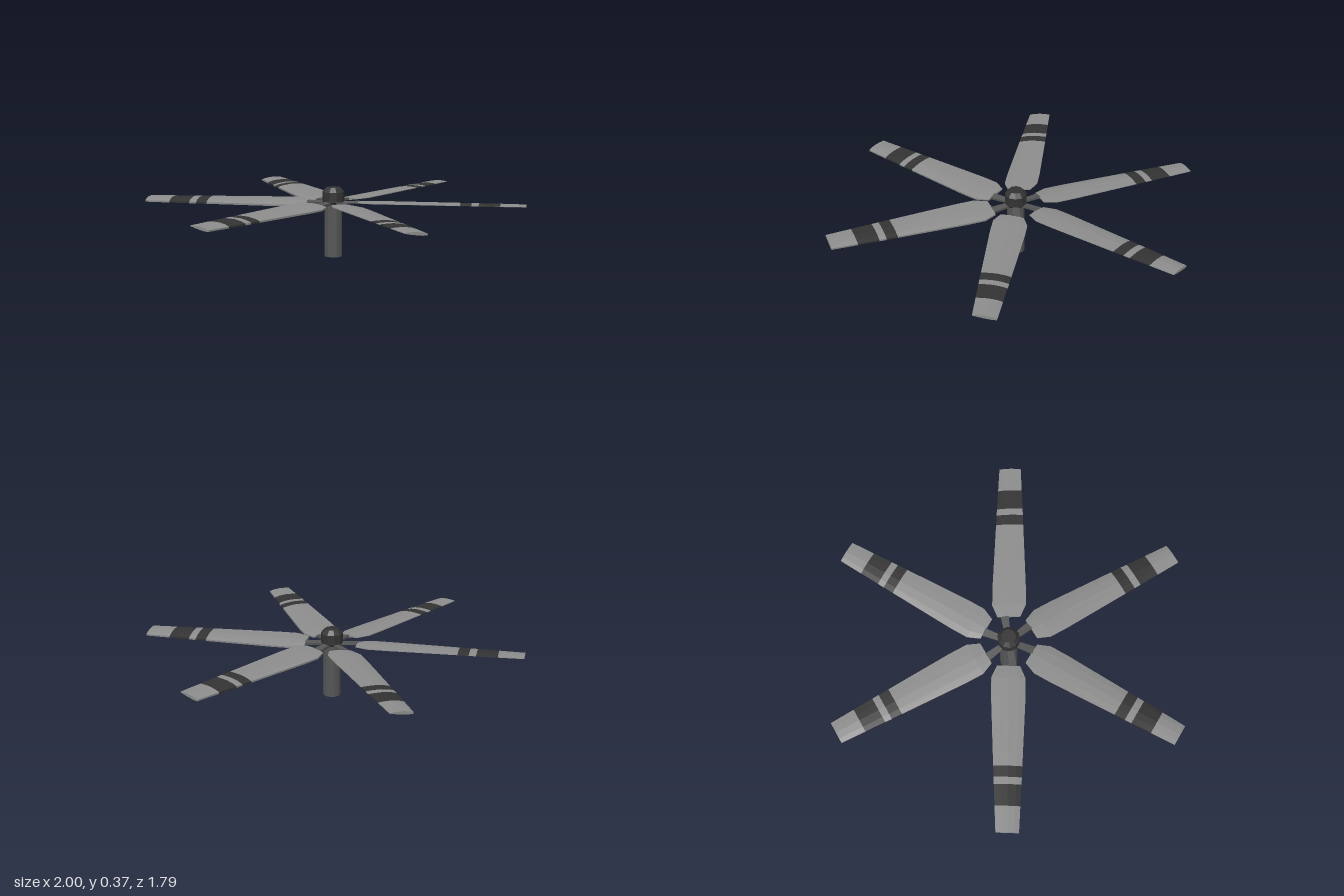
import * as THREE from 'three';

const material = (name, color) => {
  const m = new THREE.MeshStandardMaterial({ color, flatShading: true });
  m.name = name;
  return m;
};

// Blade section: [chord position -1..1, height], over the top then back underneath
const SECTION = [
  [-1, 0.004], [-0.6, 0.009], [0, 0.0105], [0.5, 0.007], [1, 0.002],
  [1, -0.002], [0.5, -0.005], [0, -0.007], [-0.6, -0.008], [-1, -0.005],
];
// Blade stations: [radius, half chord, thickness, colour of the span that follows]
const STATIONS = [
  [0.135, 0.06, 0.7, 0], [0.2, 0.088, 1, 0], [0.3, 0.088, 1, 0], [0.663, 0.073, 1, 1],
  [0.72, 0.071, 1, 0], [0.757, 0.069, 1, 1], [0.866, 0.064, 1, 0], [0.998, 0.058, 0.9, 0],
];
const PITCH = THREE.MathUtils.degToRad(6);

// Loft the section along +x, with one geometry group for each span
function bladeGeometry() {
  const rings = STATIONS.map(([r, half, thick]) => SECTION.map(([c, h]) => {
    const z = c * half, y = h * thick;
    return [r, y * Math.cos(PITCH) + z * Math.sin(PITCH), z * Math.cos(PITCH) - y * Math.sin(PITCH)];
  }));
  const positions = [];
  const geometry = new THREE.BufferGeometry();
  const n = SECTION.length;
  const tri = (a, b, c) => positions.push(...a, ...b, ...c);
  const addGroup = (start, index) => geometry.addGroup(start, positions.length / 3 - start, index);

  for (let i = 0; i < rings.length - 1; i++) {
    const start = positions.length / 3;
    const p = rings[i], q = rings[i + 1];
    for (let j = 0; j < n; j++) {
      const k = (j + 1) % n;
      tri(p[j], p[k], q[k]);
      tri(p[j], q[k], q[j]);
    }
    addGroup(start, STATIONS[i][3]);
  }
  // Root and tip caps
  const start = positions.length / 3;
  const root = rings[0], tip = rings[rings.length - 1];
  for (let j = 1; j < n - 1; j++) {
    tri(tip[0], tip[j], tip[j + 1]);
    tri(root[0], root[j + 1], root[j]);
  }
  addGroup(start, 0);
  geometry.setAttribute('position', new THREE.Float32BufferAttribute(positions, 3));
  geometry.computeVertexNormals();
  return geometry;
}

// Flat arm that widens towards the blade
function armGeometry() {
  const shape = new THREE.Shape([
    new THREE.Vector2(0, -0.013), new THREE.Vector2(0.138, -0.021),
    new THREE.Vector2(0.138, 0.021), new THREE.Vector2(0, 0.013),
  ]);
  const geometry = new THREE.ExtrudeGeometry(shape, { depth: 0.012, bevelEnabled: false });
  geometry.translate(0, 0, -0.006);
  geometry.rotateX(-Math.PI / 2 - PITCH);
  return geometry;
}

export function createModel() {
  const model = new THREE.Group();
  model.name = 'rotor';
  const bladeGrey = material('blade grey', 0x8c8c8c);
  const darkGrey = material('dark grey', 0x333333);
  const metal = material('mast grey', 0x555555);

  const add = (name, geometry, mat, parent = model) => {
    const mesh = new THREE.Mesh(geometry, mat);
    mesh.name = name;
    parent.add(mesh);
    return mesh;
  };

  // Mast
  add('mast', new THREE.CylinderGeometry(0.047, 0.047, 0.285, 12).translate(0, 0.1425, 0), metal);

  // Chamfered hub cap
  const capProfile = [[0, 0.272], [0.04, 0.272], [0.058, 0.29], [0.058, 0.342], [0.038, 0.365], [0, 0.365]]
    .map(([x, y]) => new THREE.Vector2(x, y));
  add('hubCap', new THREE.LatheGeometry(capProfile, 10), darkGrey);

  // Six arms and striped blades, arms set slightly ahead of their blades
  const blade = bladeGeometry(), arm = armGeometry();
  for (let i = 0; i < 6; i++) {
    const unit = new THREE.Group();
    unit.name = 'bladeUnit' + (i + 1);
    unit.position.y = 0.286;
    unit.rotation.y = i * Math.PI / 3;
    add('blade', blade, [bladeGrey, darkGrey], unit);
    add('arm', arm, metal, unit).rotation.y = THREE.MathUtils.degToRad(9);
    model.add(unit);
  }
  return model;
}
